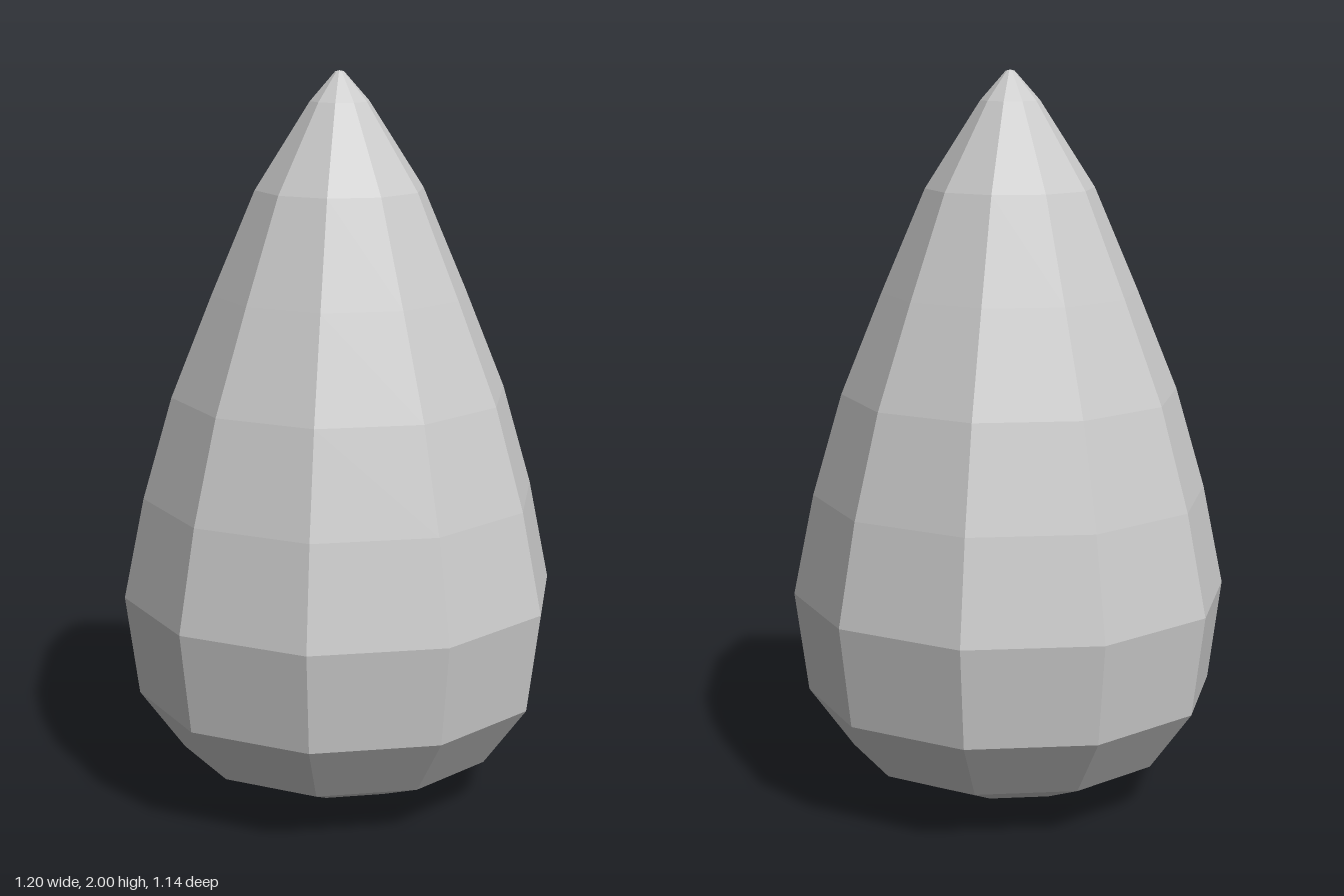
import * as THREE from 'three';

export function createModel() {
  const group = new THREE.Group();
  group.name = 'teardrop';

  // Half outline as [radius, height], from the base up to the tip
  const outline = [
    [0, 0], [0.042, 0.002], [0.26, 0.055], [0.44, 0.134], [0.562, 0.302],
    [0.598, 0.578], [0.541, 0.856], [0.46, 1.134], [0.348, 1.41],
    [0.229, 1.688], [0.08, 1.92], [0.012, 1.997], [0, 2],
  ].map(([r, y]) => new THREE.Vector2(r, y));

  // Ten-sided faceted body with corners on the x axis
  const body = new THREE.Mesh(
    new THREE.LatheGeometry(outline, 10, Math.PI / 2),
    new THREE.MeshStandardMaterial({ color: 0xcccccc, flatShading: true })
  );
  body.name = 'body';
  group.add(body);
  return group;
}
